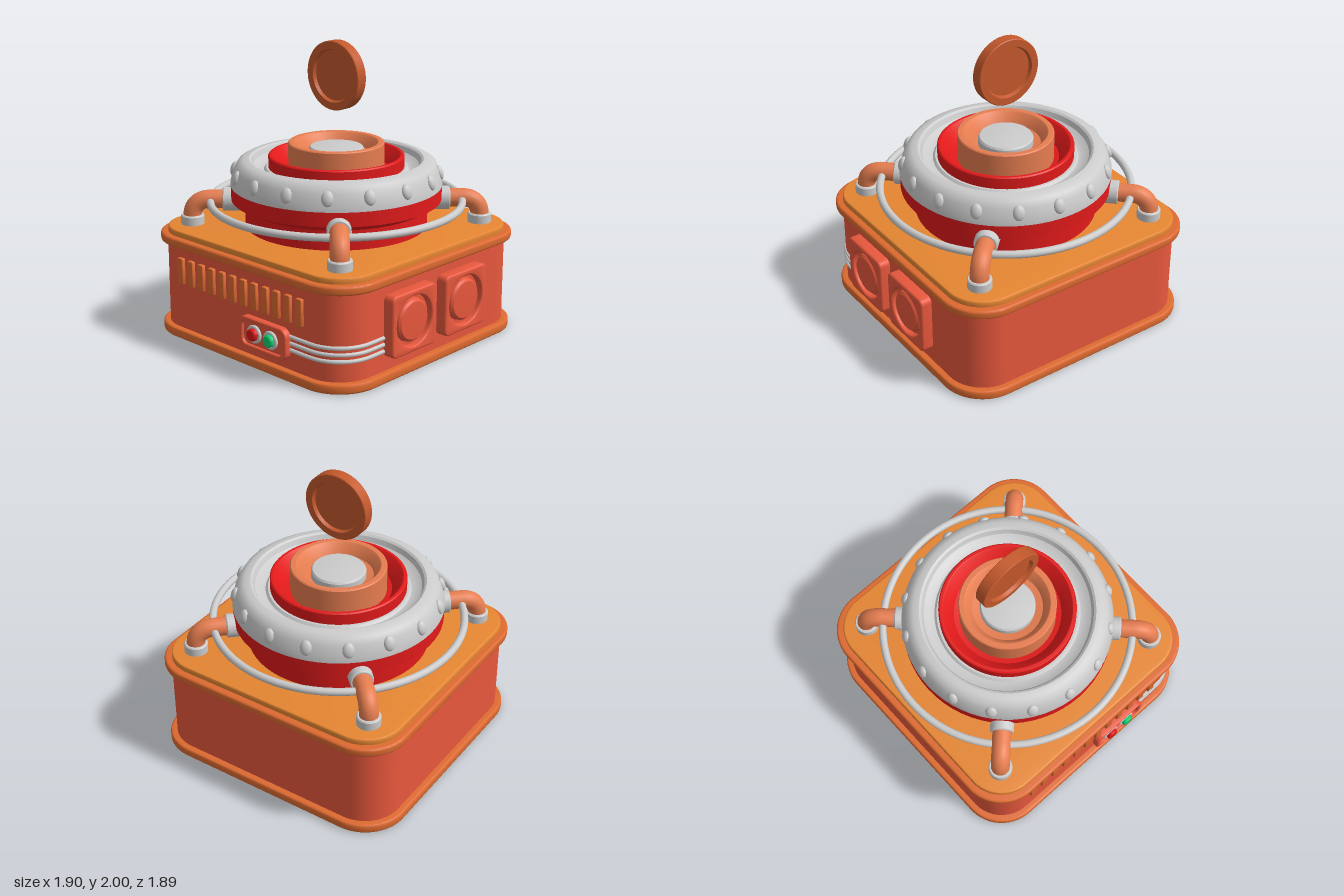
import * as THREE from 'three';
import { toCreasedNormals } from 'three/addons/utils/BufferGeometryUtils.js';

const COLORS = {
  body: 0xe8583d, trim: 0xdd6a30, plate: 0xe68632, red: 0xe21a1a, grey: 0xcccccc,
  pipe: 0xe67d50, coin: 0xc4592c, lampRed: 0xdd1616, lampGreen: 0x10cc70,
};
const materials = {};
for (const key in COLORS) materials[key] = new THREE.MeshStandardMaterial({ color: COLORS[key] });

function add(parent, name, geometry, color, x = 0, y = 0, z = 0) {
  const mesh = new THREE.Mesh(geometry, materials[color]);
  mesh.name = name;
  mesh.position.set(x, y, z);
  parent.add(mesh);
  return mesh;
}

// Rounded rectangle centred on the origin
function roundedRect(w, h, r) {
  const s = new THREE.Shape(), x = w / 2, y = h / 2;
  s.moveTo(-x + r, -y);
  s.lineTo(x - r, -y).absarc(x - r, -y + r, r, -Math.PI / 2, 0);
  s.lineTo(x, y - r).absarc(x - r, y - r, r, 0, Math.PI / 2);
  s.lineTo(-x + r, y).absarc(-x + r, y - r, r, Math.PI / 2, Math.PI);
  s.lineTo(-x, -y + r).absarc(-x + r, -y + r, r, Math.PI, Math.PI * 1.5);
  return s;
}

// Extrusion from z = 0 to z = depth; the bevel stays inside the given depth
function extrude(shape, depth, bevel) {
  const g = new THREE.ExtrudeGeometry(shape, {
    depth: depth - 2 * bevel, bevelEnabled: bevel > 0, bevelSize: bevel, bevelThickness: bevel,
    bevelOffset: -bevel, bevelSegments: 3, curveSegments: 16,
  });
  g.translate(0, 0, bevel);
  return toCreasedNormals(g, 0.6);
}

// Horizontal rounded-square slab
function slab(half, radius, y0, y1, bevel) {
  return extrude(roundedRect(half * 2, half * 2, radius), y1 - y0, bevel).rotateX(-Math.PI / 2).translate(0, y0, 0);
}

function lathe(points, segments = 64) {
  return toCreasedNormals(new THREE.LatheGeometry(points.map(p => new THREE.Vector2(...p)), segments), 0.55);
}

function buildCase(root) {
  add(root, 'caseBody', slab(0.89, 0.26, 0.03, 0.68, 0), 'body');
  add(root, 'bottomTrim', slab(0.935, 0.3, 0, 0.065, 0.015), 'trim');
  add(root, 'topTrim', slab(0.935, 0.3, 0.645, 0.705, 0.015), 'trim');
  add(root, 'topPlate', slab(0.887, 0.26, 0.69, 0.745, 0.012), 'plate');

  // Row of vent slats
  const slat = extrude(roundedRect(0.055, 0.185, 0.01), 0.04, 0.006);
  for (let i = 0; i < 12; i++) add(root, 'ventSlat', slat, 'trim', -0.58 + i * 0.1022, 0.478, 0.875);

  // Control panel with raised rim and two lamps
  const rim = roundedRect(0.435, 0.215, 0.06);
  rim.holes.push(roundedRect(0.37, 0.16, 0.04));
  add(root, 'panelRim', extrude(rim, 0.07, 0.008), 'body', 0.235, 0.232, 0.865);
  add(root, 'panelFace', extrude(roundedRect(0.39, 0.18, 0.04), 0.05, 0), 'body', 0.235, 0.232, 0.865);
  [['lampRed', 0.153], ['lampGreen', 0.303]].forEach(([color, x]) => {
    add(root, 'lampBezel', new THREE.TorusGeometry(0.051, 0.012, 10, 32), 'grey', x, 0.232, 0.922);
    const lamp = lathe([[0.042, 0], [0.042, 0.05], [0.034, 0.06], [0, 0.062]], 32).rotateX(Math.PI / 2);
    add(root, 'lamp', lamp, color, x, 0.232, 0.898);
  });

  // Three cables round the front left corner
  const r = 0.26, c = 0.89 - r, pts = [new THREE.Vector3(0.42, 0, 0.89)];
  for (let i = 0; i <= 8; i++) {
    const a = (i / 8) * Math.PI / 2;
    pts.push(new THREE.Vector3(c + r * Math.sin(a), 0, c + r * Math.cos(a)));
  }
  pts.push(new THREE.Vector3(0.89, 0, 0.48));
  const cable = new THREE.TubeGeometry(new THREE.CatmullRomCurve3(pts), 60, 0.014, 8);
  for (const y of [0.2, 0.245, 0.29]) add(root, 'cable', cable, 'grey', 0, y, 0);

  // Two side speakers: square housing, round recess and domed plug
  const housing = roundedRect(0.42, 0.415, 0.04);
  housing.holes.push(new THREE.Path().absarc(0, 0, 0.17, 0, Math.PI * 2, true));
  const housingGeo = extrude(housing, 0.1, 0.012).rotateY(Math.PI / 2);
  const plug = lathe([[0.17, 0], [0.17, 0.055], [0.145, 0.055], [0.14, 0.08], [0.125, 0.094], [0, 0.098]])
    .rotateZ(-Math.PI / 2);
  for (const z of [0.293, -0.222]) {
    add(root, 'speakerHousing', housingGeo, 'body', 0.868, 0.367, z);
    add(root, 'speakerPlug', plug, 'body', 0.868, 0.367, z);
  }
}

function buildDrum(root) {
  add(root, 'drum', lathe([[0.62, 0.73], [0.62, 0.88], [0.715, 0.93], [0.715, 1.05], [0.5, 1.05]]), 'red');
  add(root, 'drumCollar', lathe([
    [0.6, 1.028], [0.718, 1.028], [0.715, 1.06], [0.69, 1.14], [0.665, 1.18], [0.63, 1.2], [0.59, 1.205],
    [0.575, 1.195], [0.56, 1.16], [0.52, 1.135], [0.49, 1.13], [0.475, 1.145], [0.44, 1.145],
  ]), 'grey');
  add(root, 'innerRing', lathe([
    [0.46, 1.08], [0.46, 1.222], [0.452, 1.23], [0.435, 1.23], [0.425, 1.222], [0.36, 1.13], [0.3, 1.12],
  ]), 'red');
  add(root, 'centreTube', lathe([
    [0.325, 1.08], [0.325, 1.308], [0.318, 1.315], [0.285, 1.315], [0.275, 1.308], [0.235, 1.235], [0.16, 1.22],
  ]), 'pipe');
  add(root, 'centreButton', lathe([[0.185, 1.2], [0.185, 1.27], [0.175, 1.283], [0.1, 1.292], [0, 1.295]]), 'grey');

  // Rivets round the sloping collar
  const rivet = new THREE.SphereGeometry(1, 16, 12).scale(0.04, 0.052, 0.026);
  for (let i = 0; i < 16; i++) {
    const a = THREE.MathUtils.degToRad(-6 + 22.5 * i);
    const m = add(root, 'rivet', rivet, 'grey', 0.697 * Math.sin(a), 1.112, 0.697 * Math.cos(a));
    m.rotation.set(-0.3, a, 0, 'YXZ');
  }

  add(root, 'hoop', new THREE.TorusGeometry(0.855, 0.026, 12, 96).rotateX(Math.PI / 2), 'grey', 0, 0.908, 0);
}

// Four elbow pipes joining drum and top plate
function buildPipes(root) {
  const v = (x, y) => new THREE.Vector3(x, y, 0);
  const path = new THREE.CurvePath();
  path.add(new THREE.LineCurve3(v(0.98, 0.74), v(0.98, 0.8)));
  path.add(new THREE.CubicBezierCurve3(v(0.98, 0.8), v(0.98, 0.87), v(0.935, 0.915), v(0.86, 0.915)));
  path.add(new THREE.LineCurve3(v(0.86, 0.915), v(0.62, 0.915)));
  const elbow = new THREE.TubeGeometry(path, 40, 0.063, 20);
  const foot = lathe([[0.08, 0], [0.08, 0.058], [0.073, 0.066], [0.05, 0.066]], 32);
  const flange = lathe([[0.05, 0], [0.08, 0], [0.08, 0.125], [0.073, 0.132], [0.05, 0.132]], 32).rotateZ(-Math.PI / 2);
  for (let i = 0; i < 4; i++) {
    const pipe = new THREE.Group();
    pipe.name = 'cornerPipe';
    pipe.rotation.y = Math.PI / 4 + i * Math.PI / 2;
    add(pipe, 'pipeElbow', elbow, 'pipe');
    add(pipe, 'pipeFoot', foot, 'grey', 0.98, 0.744, 0);
    add(pipe, 'pipeFlange', flange, 'grey', 0.64, 0.915, 0);
    root.add(pipe);
  }
}

// Floating coin with a recessed face on both sides
function buildCoin(root) {
  const coin = lathe([
    [0, -0.018], [0.17, -0.018], [0.18, -0.041], [0.228, -0.041], [0.233, -0.036],
    [0.233, 0.036], [0.228, 0.041], [0.18, 0.041], [0.17, 0.018], [0, 0.018],
  ]).rotateX(Math.PI / 2);
  add(root, 'coin', coin, 'coin', 0, 1.767, 0);
}

export function createModel() {
  const model = new THREE.Group();
  model.name = 'coinMachine';
  const root = new THREE.Group();
  root.name = 'machine';
  root.position.set(-0.016, 0, -0.008);
  buildCase(root);
  buildDrum(root);
  buildPipes(root);
  buildCoin(root);
  model.add(root);
  return model;
}
